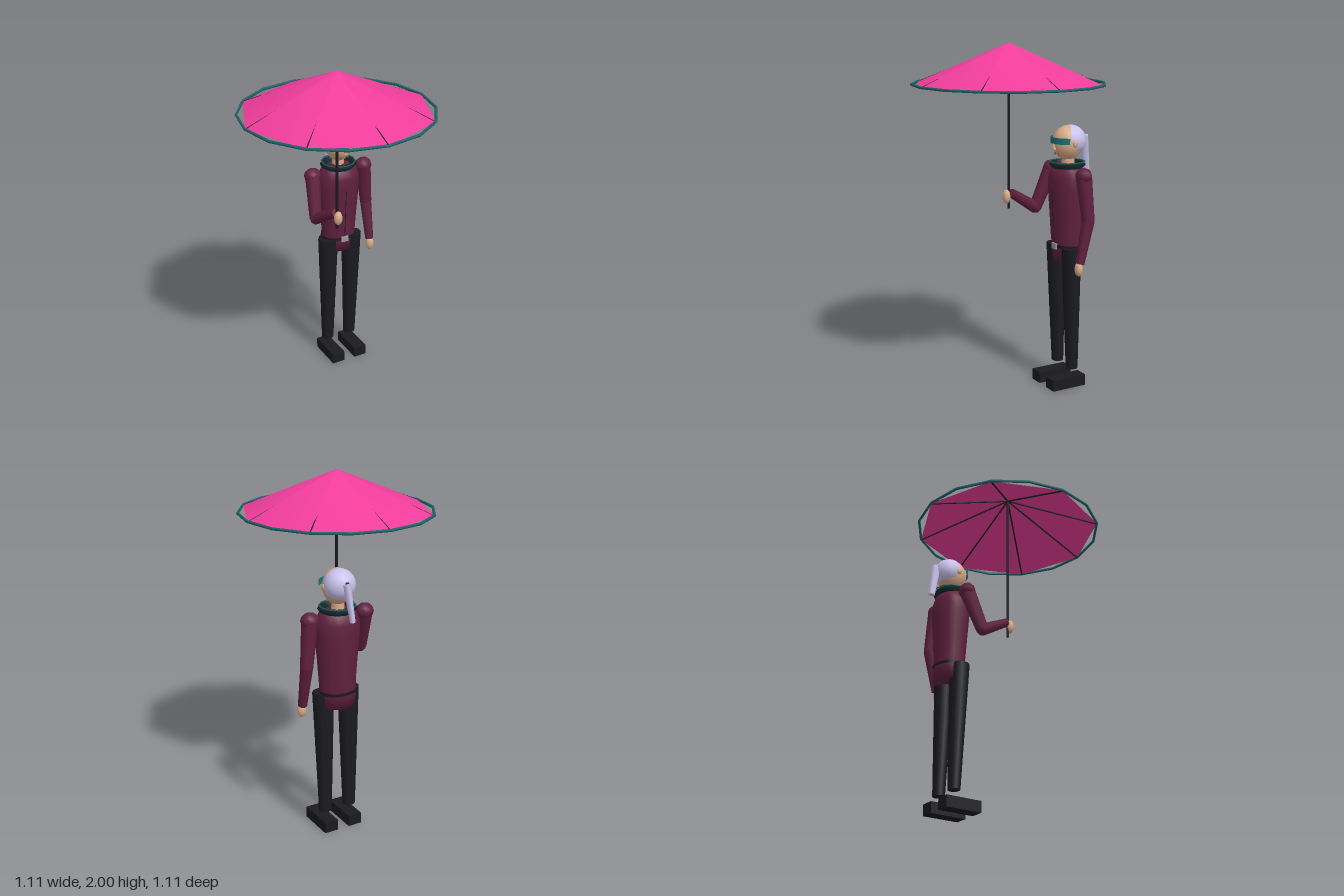
import * as THREE from 'three';

const mat = (color, side = THREE.FrontSide) => new THREE.MeshStandardMaterial({ color, side });
const V = (x, y, z) => new THREE.Vector3(x, y, z);

export function createModel() {
  const model = new THREE.Group();
  const pink = mat(0xf03d9b, THREE.DoubleSide), teal = mat(0x1f6468), coat = mat(0x60203e);
  const black = mat(0x1b1a1f), skin = mat(0xd8ab86), hair = mat(0xc8c2ec);
  const darkTeal = mat(0x14282a), grey = mat(0x999999), lip = mat(0x8a5040);
  const CX = 0.167, CZ = -0.29; // axis of the standing figure

  function add(name, geometry, material, x = 0, y = 0, z = 0, parent = model) {
    const mesh = new THREE.Mesh(geometry, material);
    mesh.name = name;
    mesh.position.set(x, y, z);
    parent.add(mesh);
    return mesh;
  }
  // Tapered limb running from a to b
  function limb(name, a, b, ra, rb, material, sides = 8, parent = model) {
    const geo = new THREE.CylinderGeometry(rb, ra, a.distanceTo(b), sides);
    const m = add(name, geo, material, 0, 0, 0, parent);
    m.position.copy(a).lerp(b, 0.5);
    m.quaternion.setFromUnitVectors(V(0, 1, 0), b.clone().sub(a).normalize());
    return m;
  }
  function ball(name, p, rx, ry, rz, material, parent = model, w = 12, h = 8) {
    const m = add(name, new THREE.SphereGeometry(1, w, h), material, p.x, p.y, p.z, parent);
    m.scale.set(rx, ry, rz);
    return m;
  }

  // Parasol: eight-sided canopy, rim ring, ribs and pole
  const parasol = new THREE.Group();
  parasol.name = 'parasol';
  model.add(parasol);
  add('canopy', new THREE.ConeGeometry(0.545, 0.23, 8, 1, true), pink, 0, 1.885, 0, parasol);
  add('rim', new THREE.TorusGeometry(0.545, 0.008, 6, 16), teal, 0, 1.772, 0, parasol).rotation.x = Math.PI / 2;
  for (let i = 0; i < 8; i++) {
    const a = i * Math.PI / 4;
    limb('rib', V(0, 1.99, 0), V(Math.sin(a) * 0.54, 1.769, Math.cos(a) * 0.54), 0.005, 0.005, black, 5, parasol);
  }
  limb('pole', V(0, 1.055, 0), V(0, 1.99, 0), 0.008, 0.008, black, 8, parasol);

  // Coat body: elliptical lathe
  const profile = [[0, 0.755], [0.1, 0.755], [0.107, 0.83], [0.108, 0.9], [0.118, 1.03], [0.13, 1.17],
    [0.128, 1.24], [0.11, 1.29], [0.06, 1.315], [0, 1.315]].map(p => new THREE.Vector2(...p));
  const body = add('coat', new THREE.LatheGeometry(profile, 16), coat, CX, 0, CZ);
  body.scale.z = 0.78;
  // Hem sits slightly further back than the chest
  const bp = body.geometry.attributes.position;
  for (let i = 0; i < bp.count; i++) if (bp.getY(i) < 0.85) bp.setZ(i, bp.getZ(i) - 0.01);
  limb('coatSeam', V(CX, 0.87, CZ + 0.083), V(CX, 1.17, CZ + 0.101), 0.0025, 0.0025, black, 4);
  const belt = add('belt', new THREE.CylinderGeometry(0.111, 0.111, 0.018, 16, 1, true), black, CX, 0.843, CZ - 0.006);
  belt.scale.z = 0.78;
  add('buckle', new THREE.BoxGeometry(0.045, 0.033, 0.012), grey, CX, 0.842, CZ + 0.082);

  // Legs and shoes
  for (const s of [-1, 1]) {
    const leg = limb('leg', V(CX + s * 0.078, 0.11, CZ + 0.002), V(CX + s * 0.08, 0.84, CZ + 0.018), 0.038, 0.063, black, 10);
    leg.scale.z = 0.88;
    add('shoe', new THREE.BoxGeometry(0.082, 0.065, 0.22), black, CX + s * 0.078, 0.0325, -0.248);
  }

  // Arms: the right one holds the parasol, the left one hangs
  const arms = [
    ['right', V(-0.005, 1.27, CZ), V(-0.035, 1.035, -0.2), V(0, 1.145, -0.015), V(0, 1.125, 0.015)],
    ['left', V(0.337, 1.27, CZ), V(0.367, 1.015, -0.305), V(0.367, 0.775, -0.253), V(0.367, 0.745, -0.245)],
  ];
  for (const [side, shoulder, elbow, wrist, hand] of arms) {
    const arm = new THREE.Group();
    arm.name = side + 'Arm';
    model.add(arm);
    ball('shoulder', shoulder, 0.054, 0.046, 0.046, coat, arm, 10, 6);
    limb('upperArm', shoulder, elbow, 0.046, 0.036, coat, 8, arm);
    ball('elbow', elbow, 0.035, 0.035, 0.035, coat, arm, 8, 6);
    limb('forearm', elbow, wrist, 0.036, 0.026, coat, 8, arm);
    ball('hand', hand, 0.026, 0.042, 0.023, skin, arm, 10, 8);
  }

  // Neck and collar ring
  limb('neck', V(CX, 1.28, CZ - 0.005), V(CX, 1.39, CZ - 0.005), 0.038, 0.034, skin, 10);
  const ring = [[0.072, 1.292], [0.088, 1.292], [0.112, 1.312], [0.1, 1.33], [0.08, 1.328], [0.072, 1.292]];
  const collar = add('collar', new THREE.LatheGeometry(ring.map(p => new THREE.Vector2(...p)), 12),
    mat(0x14282a, THREE.DoubleSide), CX, 0, CZ);
  collar.scale.z = 0.92;
  add('collarTrim', new THREE.TorusGeometry(0.1, 0.004, 5, 12), teal, CX, 1.331, CZ).rotation.x = Math.PI / 2;

  // Head with hair, ponytail and visor
  const head = new THREE.Group();
  head.name = 'head';
  model.add(head);
  ball('face', V(CX, 1.438, CZ - 0.002), 0.083, 0.1, 0.092, skin, head, 14, 10);
  ball('hair', V(CX, 1.45, CZ - 0.021), 0.09, 0.089, 0.087, hair, head, 14, 10);
  for (const s of [-1, 1]) ball('ear', V(CX + s * 0.084, 1.44, CZ), 0.011, 0.022, 0.018, skin, head, 8, 6);
  const nose = add('nose', new THREE.ConeGeometry(0.012, 0.04, 6), skin, CX, 1.425, CZ + 0.092, head);
  nose.rotation.x = 0.25;
  add('mouth', new THREE.TorusGeometry(0.03, 0.004, 5, 8, Math.PI * 0.7), lip, CX, 1.358, CZ + 0.07, head)
    .rotation.z = Math.PI * 0.15;
  const visor = add('visor', new THREE.CylinderGeometry(0.1, 0.1, 0.036, 8, 1, true, -1.1, 2.2),
    mat(0x1b7478, THREE.DoubleSide), CX, 1.455, CZ - 0.004, head);
  visor.scale.x = 1.02;
  const tail = limb('ponytail', V(CX + 0.005, 1.475, -0.395), V(CX - 0.012, 1.27, -0.43), 0.03, 0.02, hair, 6, head);
  tail.scale.z = 0.75;
  ball('hairTie', V(CX, 1.465, -0.385), 0.022, 0.018, 0.022, darkTeal, head, 8, 6);
  return model;
}
